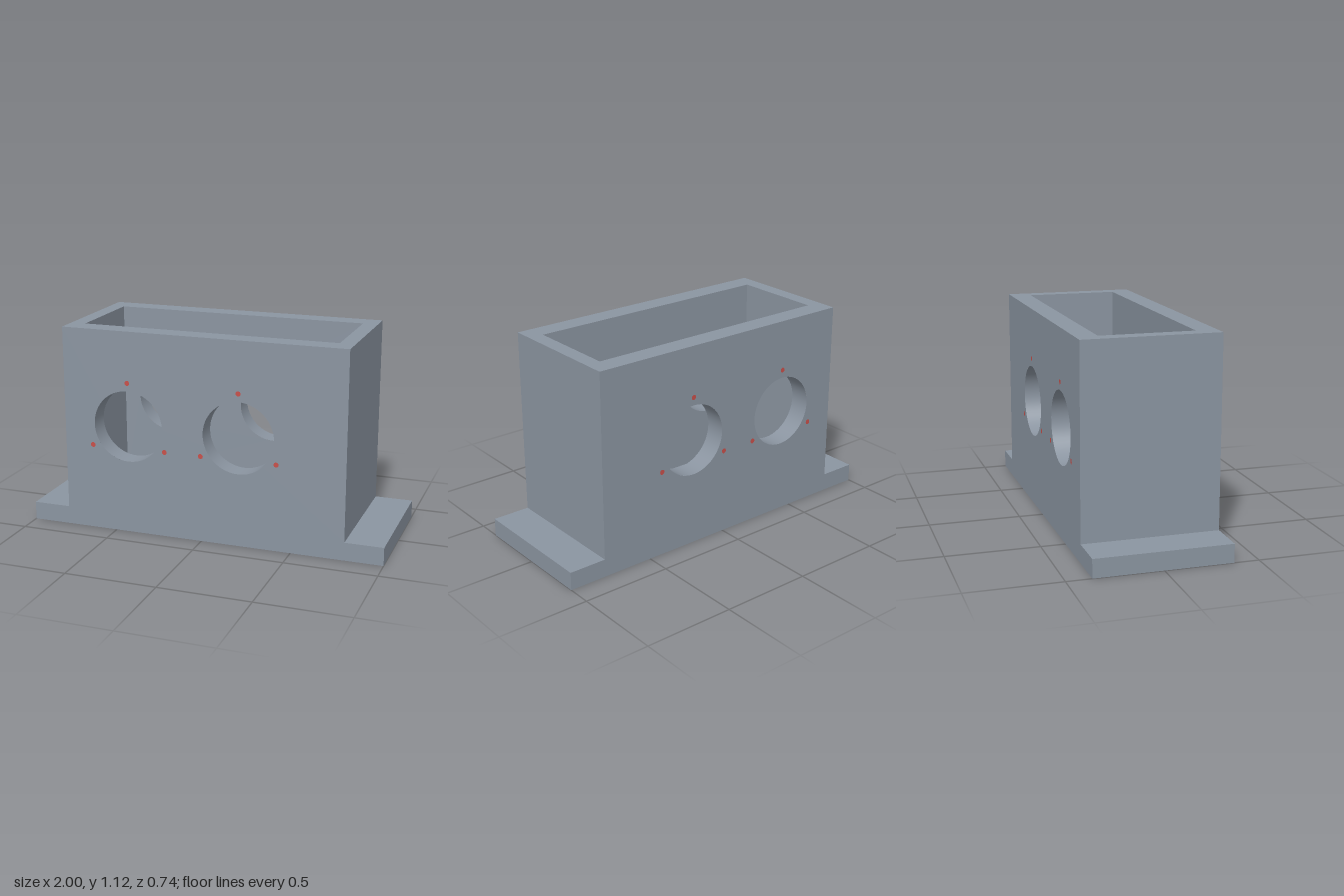
import * as THREE from 'three';
import { mergeGeometries } from 'three/addons/utils/BufferGeometryUtils.js';

const H = 1.125, X = 0.79, Z = 0.367;        // outer body
const FLANGE_X = 1, FLANGE_H = 0.1;          // mounting flange
const IX = 0.708, IZ = 0.253, FLOOR = 0.1;   // cavity
const HOLE_R = 0.197, HOLE_Y = 0.602, HOLES_X = [-0.418, 0.207];
const DOT_R = 0.014, DOT_RING = 0.242, SEG = 48;

const shapeOf = (pts) => new THREE.Shape(pts.map(([x, y]) => new THREE.Vector2(x, y)));
const rect = (x0, y0, x1, y1) => [[x0, y0], [x1, y0], [x1, y1], [x0, y1]];

// Inverted-T outline, counter-clockwise; its last edge but three is the open top
const outline = [
  [-FLANGE_X, 0], [FLANGE_X, 0], [FLANGE_X, FLANGE_H], [X, FLANGE_H],
  [X, H], [-X, H], [-X, FLANGE_H], [-FLANGE_X, FLANGE_H],
];

// Upright panel with the two round openings, facing +z (dir 1) or -z (dir -1)
function panel(pts, z, dir) {
  const shape = shapeOf(pts);
  for (const x of HOLES_X) {
    shape.holes.push(new THREE.Path().absarc(dir * x, HOLE_Y, HOLE_R, 0, Math.PI * 2, true));
  }
  const g = new THREE.ShapeGeometry(shape, SEG);
  if (dir < 0) g.rotateY(Math.PI);
  return g.translate(0, 0, z);
}

// Flat strip running along z over one outline edge, facing outward
function strip([ax, ay], [bx, by], depth) {
  const g = new THREE.PlaneGeometry(Math.hypot(bx - ax, by - ay), depth);
  g.rotateX(Math.PI / 2);
  g.rotateZ(Math.atan2(by - ay, bx - ax));
  return g.translate((ax + bx) / 2, (ay + by) / 2, 0);
}

function housingGeometry() {
  const parts = [panel(outline, Z, 1), panel(outline, -Z, -1)];

  // Outer sides, underside and flange tops
  outline.forEach((a, i) => {
    if (i !== 4) parts.push(strip(a, outline[(i + 1) % outline.length], 2 * Z));
  });

  // Top rim around the opening
  const rim = shapeOf(rect(-X, -Z, X, Z));
  rim.holes.push(shapeOf(rect(-IX, -IZ, IX, IZ)));
  parts.push(new THREE.ShapeGeometry(rim).rotateX(-Math.PI / 2).translate(0, H, 0));

  // Cavity walls and floor
  const inner = rect(-IX, FLOOR, IX, H);
  parts.push(panel(inner, IZ, -1), panel(inner, -IZ, 1));
  parts.push(strip([-IX, H], [-IX, FLOOR], 2 * IZ));
  parts.push(strip([IX, FLOOR], [IX, H], 2 * IZ));
  parts.push(strip([IX, FLOOR], [-IX, FLOOR], 2 * IZ));
  // Turn the end walls and floor so they face into the cavity
  for (const [i, a, b] of [[1, [-IX, H], [-IX, FLOOR]], [2, [IX, FLOOR], [IX, H]]]) {
    parts[parts.length - 4 + i] = strip(b, a, 2 * IZ);
  }

  // Bores through both walls, facing inward
  for (const x of HOLES_X) {
    for (const side of [-1, 1]) {
      const half = (Z - IZ) / 2;
      const bore = new THREE.LatheGeometry(
        [new THREE.Vector2(HOLE_R, half), new THREE.Vector2(HOLE_R, -half)], SEG);
      parts.push(bore.rotateX(Math.PI / 2).translate(x, HOLE_Y, side * (Z + IZ) / 2));
    }
  }
  return mergeGeometries(parts);
}

export function createModel() {
  const model = new THREE.Group();
  model.name = 'sensorHousing';
  const grey = new THREE.MeshStandardMaterial({ color: 0x8b95a1 });
  grey.name = 'slateGrey';
  const red = new THREE.MeshStandardMaterial({ color: 0xc8504a });
  red.name = 'markerRed';

  const housing = new THREE.Mesh(housingGeometry(), grey);
  housing.name = 'housing';
  model.add(housing);

  // Three small screw markers around each opening, front and back
  const markers = new THREE.Group();
  markers.name = 'screwMarkers';
  const disc = new THREE.CircleGeometry(DOT_R, 16);
  for (const x of HOLES_X) {
    for (const side of [1, -1]) {
      for (const deg of [90, 210, 330]) {
        const a = THREE.MathUtils.degToRad(deg);
        const dot = new THREE.Mesh(disc, red);
        dot.name = 'screwMarker';
        dot.position.set(x + DOT_RING * Math.cos(a), HOLE_Y + DOT_RING * Math.sin(a), side * (Z + 0.002));
        if (side < 0) dot.rotation.y = Math.PI;
        markers.add(dot);
      }
    }
  }
  model.add(markers);
  return model;
}
